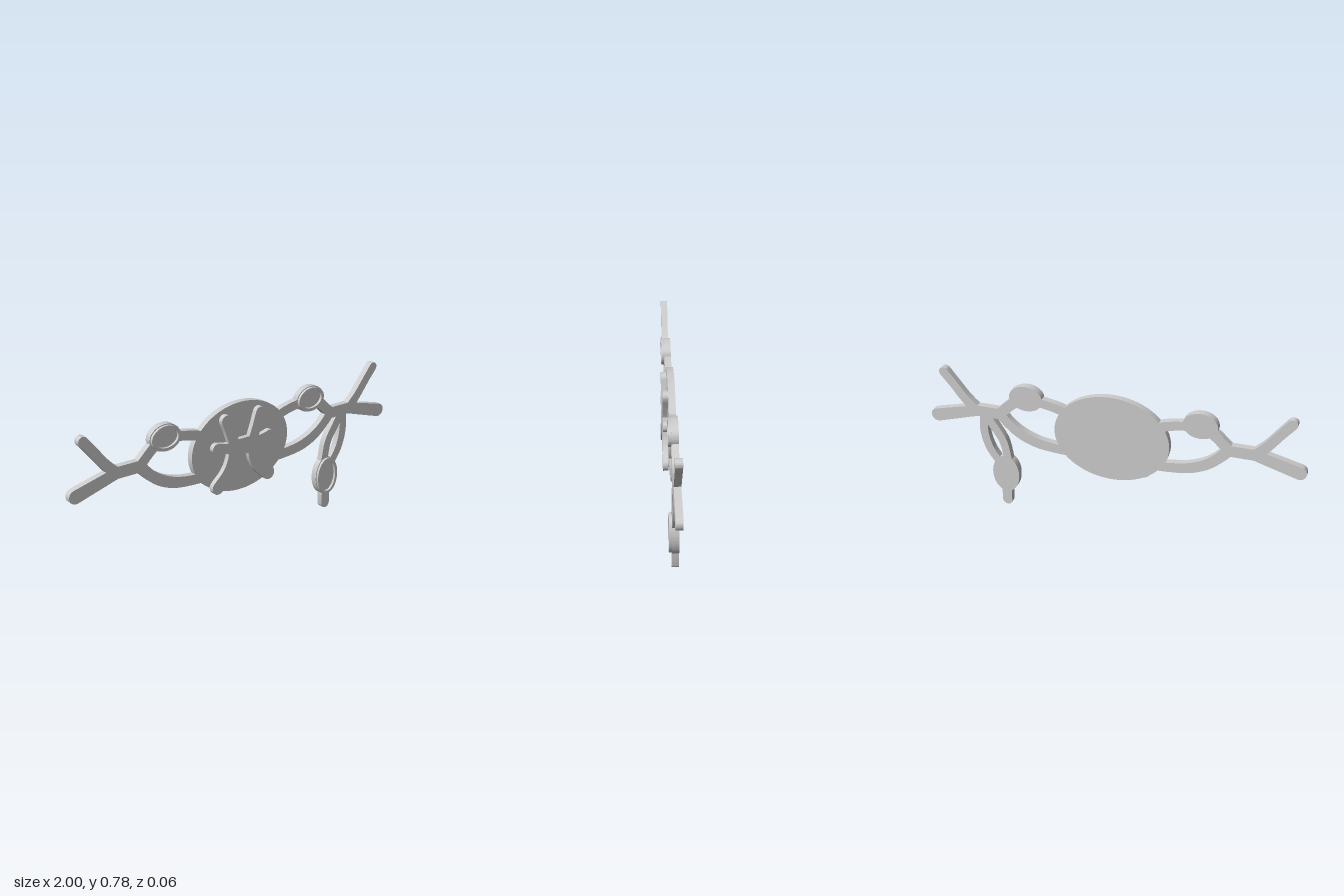
import * as THREE from 'three';
import { toCreasedNormals } from 'three/addons/utils/BufferGeometryUtils.js';

const BACK = -0.031, FACE = 0.004, RIM = 0.018, EMBLEM = 0.031;
const material = new THREE.MeshStandardMaterial({ color: 0xcccccc });

// Flat plate cut from a shape, between two depths
function plate(name, shape, z0, z1) {
  const geo = new THREE.ExtrudeGeometry(shape, { depth: z1 - z0, bevelEnabled: false, curveSegments: 48 });
  geo.translate(0, 0, z0);
  const mesh = new THREE.Mesh(toCreasedNormals(geo, 0.6), material);
  mesh.name = name;
  return mesh;
}

function ellipse(x, y, rx, ry, Type = THREE.Shape) {
  const s = new Type();
  s.absellipse(x, y, rx, ry, 0, Math.PI * 2, false, 0);
  return s;
}

// Round-ended strip along [x, y, halfWidth] points
function ribbon(points) {
  const curve = new THREE.CatmullRomCurve3(points.map(p => new THREE.Vector3(...p)));
  const n = points.length > 2 ? 28 : 2, right = [], left = [];
  const at = (p, a) => new THREE.Vector2(p.x + Math.cos(a) * p.z, p.y + Math.sin(a) * p.z);
  const cap = (p, a) => Array.from({ length: 11 }, (_, i) => at(p, a + (i + 1) * Math.PI / 12));
  let first, last;
  for (let i = 0; i <= n; i++) {
    const p = curve.getPoint(i / n), t = curve.getTangent(i / n);
    const a = Math.atan2(t.y, t.x) - Math.PI / 2;
    right.push(at(p, a));
    left.unshift(at(p, a + Math.PI));
    if (i === 0) first = cap(p, a + Math.PI);
    if (i === n) last = cap(p, a);
  }
  return new THREE.Shape([...right, ...last, ...left, ...first]);
}

// Oval backing with a raised hollow rim
function setting(name, x, y, rx, ry) {
  const g = new THREE.Group();
  g.name = name;
  const rim = ellipse(x, y, rx - 0.005, ry - 0.005);
  rim.holes.push(ellipse(x, y, rx - 0.021, ry - 0.021, THREE.Path));
  g.add(plate('backing', ellipse(x, y, rx, ry), BACK, FACE), plate('rim', rim, FACE, RIM));
  return g;
}

export function createModel() {
  const model = new THREE.Group();
  model.name = 'ornament';

  model.add(plate('centralDisc', ellipse(0, 0.515, 0.306, 0.24), BACK, FACE));

  for (const [side, s] of [['left', 1], ['right', -1]]) {
    const strip = (name, pts, z0 = BACK, z1 = FACE) =>
      model.add(plate(side + name, ribbon(pts.map(([x, y, r]) => [s * x, y, r])), z0, z1));

    // Openwork arms, link bar and forked tips
    strip('UpperArmInner', [[0.22, 0.61, 0.026], [0.27, 0.635, 0.026], [0.36, 0.656, 0.025], [0.46, 0.665, 0.026]]);
    strip('UpperArmOuter', [[0.47, 0.665, 0.026], [0.53, 0.632, 0.028], [0.585, 0.582, 0.028], [0.61, 0.557, 0.03]]);
    strip('LowerArm', [[0.2, 0.4, 0.026], [0.3, 0.404, 0.027], [0.41, 0.42, 0.029], [0.5, 0.458, 0.029],
      [0.565, 0.51, 0.028], [0.605, 0.555, 0.03]]);
    strip('LinkBar', [[0.61, 0.557, 0.031], [0.745, 0.557, 0.031]]);
    strip('UpperTip', [[0.745, 0.56, 0.029], [0.8, 0.618, 0.026], [0.86, 0.695, 0.025], [0.91, 0.757, 0.026]]);
    strip('LowerTip', [[0.745, 0.555, 0.031], [0.965, 0.494, 0.036]]);
    model.add(setting(side + 'ArmSetting', s * 0.46, 0.671, 0.09, 0.07));

    // Raised emblem: curved upright and wavy cross arm
    strip('EmblemUpright', [[0.107, 0.682, 0.031], [0.085, 0.62, 0.029], [0.062, 0.545, 0.031], [0.067, 0.465, 0.036],
      [0.1, 0.395, 0.037], [0.163, 0.332, 0.037]], FACE, EMBLEM);
    strip('EmblemArm', [[0.167, 0.546, 0.028], [0.13, 0.54, 0.024], [0.09, 0.53, 0.03], [0.04, 0.523, 0.036]], FACE, EMBLEM);
  }

  // Bar joining the emblem uprights
  const bar = new THREE.Shape([[-0.06, 0.478], [0.06, 0.478], [0.06, 0.568], [-0.06, 0.568]].map(p => new THREE.Vector2(...p)));
  model.add(plate('emblemCrossbar', bar, FACE, EMBLEM));

  // Hanging pendant on the left arm
  const pendant = new THREE.Group();
  pendant.name = 'pendant';
  pendant.add(
    plate('innerStrand', ribbon([[0.685, 0.535, 0.024], [0.645, 0.475, 0.024], [0.598, 0.395, 0.023], [0.575, 0.29, 0.022]]), BACK, FACE),
    plate('outerStrand', ribbon([[0.7, 0.535, 0.022], [0.701, 0.435, 0.023], [0.675, 0.34, 0.023], [0.625, 0.26, 0.022]]), BACK, FACE),
    setting('pendantSetting', 0.591, 0.195, 0.075, 0.11),
    plate('stem', ribbon([[0.591, 0.15, 0.027], [0.591, 0.027, 0.027]]), BACK, FACE));
  model.add(pendant);
  return model;
}
